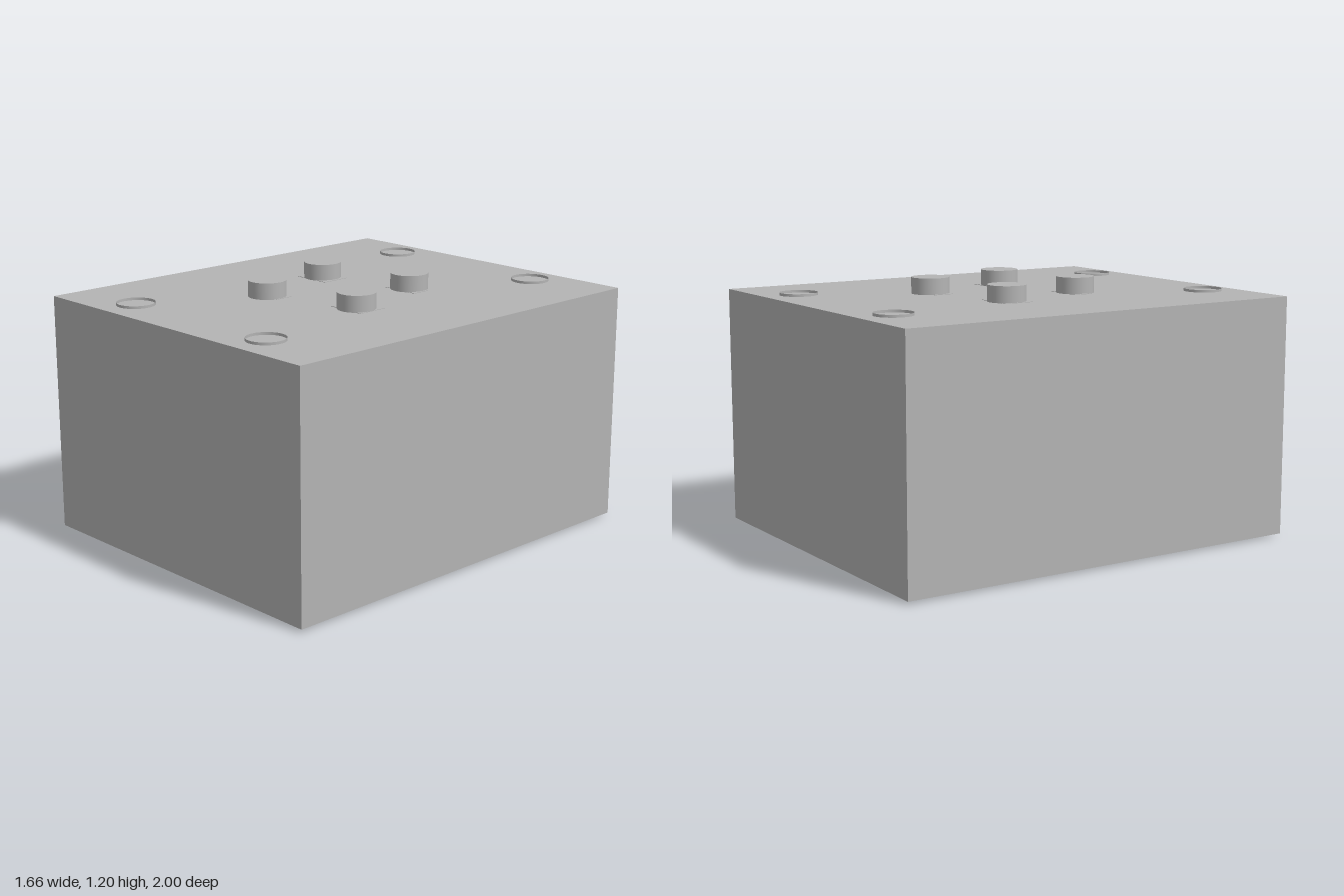
import * as THREE from 'three';

const W = 1.665, L = 2.0, Y0 = 0.012, Y1 = 1.122, R = 0.088, SOCKET = 0.14;

export function createModel() {
  const model = new THREE.Group();
  const grey = new THREE.MeshStandardMaterial({ color: 0xb4b4b4 });
  grey.name = 'grey';
  grey.side = THREE.DoubleSide;

  const add = (name, geometry, x, y, z) => {
    const mesh = new THREE.Mesh(geometry, grey);
    mesh.name = name;
    mesh.position.set(x, y, z);
    model.add(mesh);
  };

  // Positions of the corner sockets and of the turned square of studs
  const corners = [[-0.44, -0.83], [0.44, -0.83], [0.44, 0.83], [-0.44, 0.83]];
  const studs = [[-0.29, -0.168], [0.168, -0.29], [0.29, 0.168], [-0.168, 0.29]];

  // Lower slab of the block, with a round socket near each corner
  const outline = new THREE.Shape([
    new THREE.Vector2(-W / 2, -L / 2), new THREE.Vector2(W / 2, -L / 2),
    new THREE.Vector2(W / 2, L / 2), new THREE.Vector2(-W / 2, L / 2),
  ]);
  for (const [x, z] of corners) {
    outline.holes.push(new THREE.Path().absarc(x, -z, R, 0, Math.PI * 2, true));
  }
  const slab = new THREE.ExtrudeGeometry(outline, { depth: SOCKET, bevelEnabled: false, curveSegments: 24 });
  slab.rotateX(-Math.PI / 2);
  add('blockBase', slab, 0, Y0, 0);

  // Solid upper part of the block
  const h = Y1 - Y0 - SOCKET;
  add('block', new THREE.BoxGeometry(W, h, L), 0, Y1 - h / 2, 0);

  // Thin open rims around the sockets and above and below the studs
  const rim = new THREE.CylinderGeometry(R, R, 0.012, 48, 1, true);
  for (const [x, z] of corners) {
    add('cornerRim', rim, x, Y1 + 0.006, z);
    add('socketRim', rim, x, Y0 - 0.006, z);
  }
  for (const [x, z] of studs) add('bottomRim', rim, x, Y0 - 0.006, z);

  // Four raised studs
  const stud = new THREE.CylinderGeometry(R, R, 0.076, 48);
  for (const [x, z] of studs) add('stud', stud, x, Y1 + 0.038, z);

  // Slim flat pads under the studs: x, z, width, length
  const pads = [
    [-0.285, -0.162, 0.19, 0.146], [0.17, -0.272, 0.19, 0.095],
    [0.28, 0.18, 0.19, 0.09], [0.302, 0.155, 0.152, 0.15], [-0.172, 0.268, 0.19, 0.095],
  ];
  for (const [x, z, w, l] of pads) add('studPad', new THREE.BoxGeometry(w, 0.002, l), x, Y1 + 0.001, z);

  return model;
}
